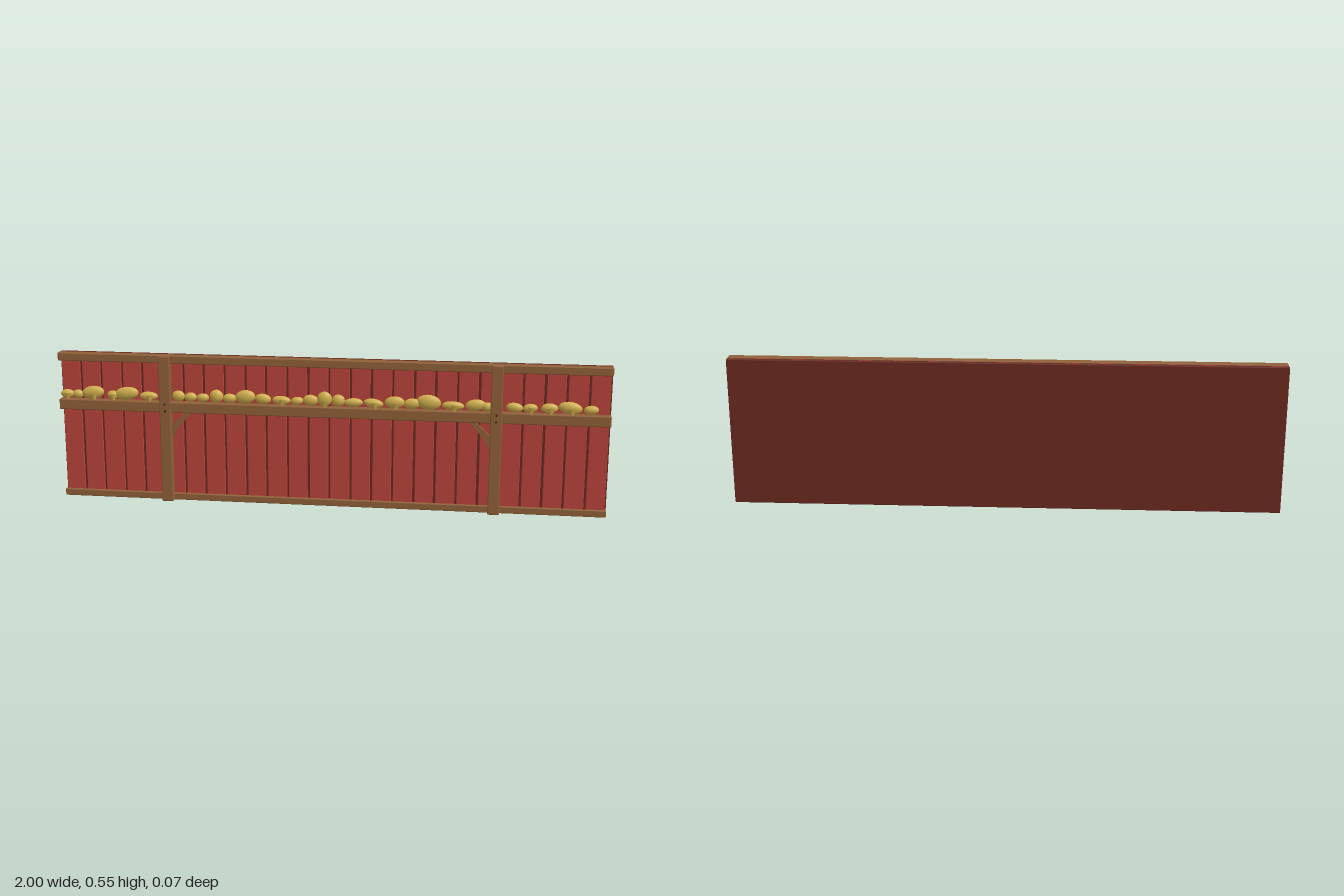
import * as THREE from 'three';
import { RoundedBoxGeometry } from 'three/addons/geometries/RoundedBoxGeometry.js';

const mat = (name, color) => new THREE.MeshStandardMaterial({ name, color });

export function createModel() {
  const group = new THREE.Group();
  const wood = mat('brown wood', 0x8f6038);
  const red = mat('red paint', 0xb9423a);
  const darkRed = mat('dark red backing', 0x68281f);
  const yellow = mat('yellow gourd', 0xcfae4c);
  const iron = mat('dark iron', 0x33241b);

  const add = (name, geo, material, x = 0, y = 0, z = 0) => {
    const mesh = new THREE.Mesh(geo, material);
    mesh.name = name;
    mesh.position.set(x, y, z);
    group.add(mesh);
    return mesh;
  };
  // Softened beam given by its limits on each axis
  const beam = (name, material, x0, x1, y0, y1, z0, z1, r = 0.004) =>
    add(name, new RoundedBoxGeometry(x1 - x0, y1 - y0, z1 - z0, 2, r), material,
      (x0 + x1) / 2, (y0 + y1) / 2, (z0 + z1) / 2);

  // Backing panel, visible between the planks
  beam('backPanel', darkRed, -1, 1, 0.002, 0.55, -0.034, -0.018, 0.003);

  // Vertical planks with narrow gaps
  const count = 26, pitch = 2 / count;
  for (let i = 0; i < count; i++) {
    const x = -1 + i * pitch;
    const gap = 0.004 + 0.001 * Math.sin(i * 2.3);
    beam('plank', red, x + gap, x + pitch - gap, 0.004, 0.548, -0.019, -0.009, 0.002);
  }

  // Horizontal rails
  beam('topRail', wood, -1, 1, 0.522, 0.552, -0.01, 0.021);
  beam('shelfRail', wood, -1, 1, 0.34, 0.379, -0.007, 0.025);
  beam('bottomRail', wood, -1, 1, 0.002, 0.027, -0.009, 0.006, 0.003);

  // Posts, bolts and corner braces, mirrored left and right
  const brace = new THREE.Shape();
  brace.moveTo(0.584, 0.225);
  brace.quadraticCurveTo(0.575, 0.27, 0.498, 0.345);
  brace.lineTo(0.524, 0.345);
  brace.lineTo(0.584, 0.285);
  const braceGeo = new THREE.ExtrudeGeometry(brace, { depth: 0.014, bevelEnabled: false });
  for (const s of [-1, 1]) {
    beam('post', wood, s * 0.6 - 0.021, s * 0.6 + 0.021, 0.002, 0.55, -0.002, 0.03);
    for (const y of [0.347, 0.372]) {
      const bolt = add('bolt', new THREE.CylinderGeometry(0.004, 0.004, 0.006, 10), iron, s * 0.6, y, 0.031);
      bolt.rotation.x = Math.PI / 2;
    }
    const b = add('cornerBrace', braceGeo, wood, 0, 0, 0.002);
    if (s < 0) { // half turn keeps the faces outward
      b.rotation.y = Math.PI;
      b.position.z = 0.016;
    }
  }

  // Gourds on the shelf: [x, half length, half height, hanging tip (1) or none (0)]
  const gourds = [
    [-0.972, 0.026, 0.016, 1], [-0.875, 0.042, 0.024, 1], [-0.932, 0.02, 0.016, 0], [-0.8, 0.022, 0.016, 1],
    [-0.748, 0.045, 0.024, 0], [-0.665, 0.034, 0.016, 1], [-0.553, 0.024, 0.02, 0], [-0.508, 0.023, 0.017, 0],
    [-0.462, 0.023, 0.016, 0], [-0.412, 0.025, 0.024, 0], [-0.363, 0.026, 0.017, 0], [-0.305, 0.037, 0.025, 0],
    [-0.24, 0.03, 0.019, 0], [-0.172, 0.034, 0.016, 1], [-0.115, 0.023, 0.015, 0], [-0.066, 0.028, 0.02, 0],
    [-0.015, 0.027, 0.027, 1], [0.035, 0.024, 0.022, 0], [0.09, 0.034, 0.016, 0], [0.162, 0.036, 0.016, 1],
    [0.238, 0.036, 0.022, 1], [0.3, 0.03, 0.019, 0], [0.36, 0.044, 0.027, 0], [0.446, 0.04, 0.016, 1],
    [0.525, 0.036, 0.021, 0], [0.567, 0.02, 0.016, 0], [0.663, 0.03, 0.017, 0], [0.718, 0.026, 0.016, 1],
    [0.785, 0.03, 0.018, 1], [0.857, 0.042, 0.022, 1], [0.93, 0.026, 0.016, 0],
  ];
  const ball = new THREE.SphereGeometry(1, 20, 14);
  const tip = new THREE.LatheGeometry([
    [0.0001, -0.026], [0.003, -0.024], [0.005, -0.014], [0.009, -0.004], [0.013, 0.006],
  ].map(([x, y]) => new THREE.Vector2(x, y)), 12);
  gourds.forEach(([x, rx, ry, hangs], i) => {
    const y = 0.382 + ry * 0.9;
    const body = add('gourd', ball, yellow, x, y, 0.006);
    body.scale.set(rx, ry, 0.011 + ry * 0.22);
    body.rotation.z = 0.12 * Math.sin(i * 1.9);
    if (hangs) {
      const t = add('gourdTip', tip, yellow, x + rx * 0.15, 0.395, 0.021);
      t.scale.z = 0.5;
      t.rotation.z = 0.2 * Math.sin(i * 2.7);
    }
  });

  return group;
}
